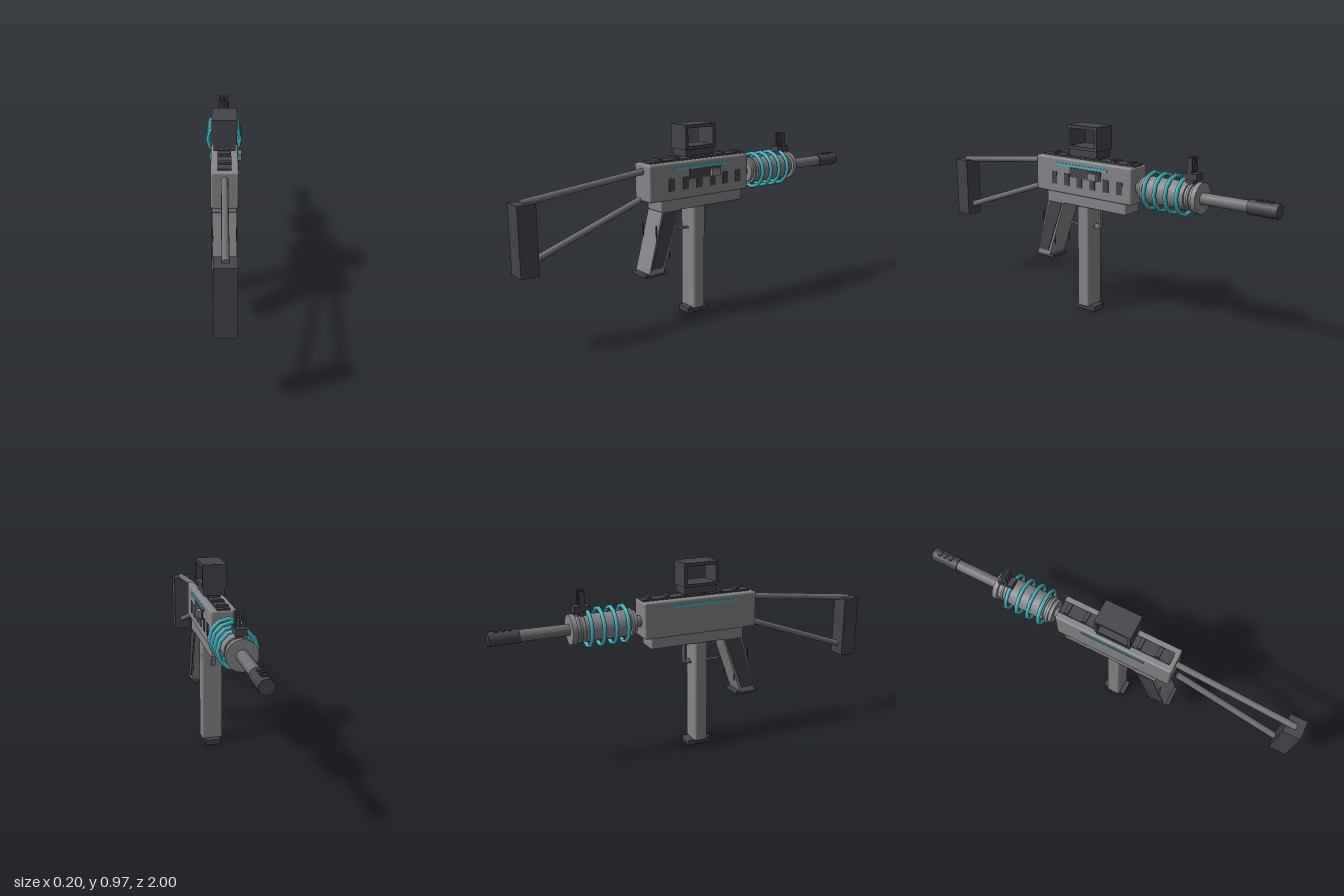
import * as THREE from 'three';
import { RoundedBoxGeometry } from 'three/addons/geometries/RoundedBoxGeometry.js';

export function createModel() {
  const model = new THREE.Group();
  model.name = 'rifle';
  const mat = (name, color) => {
    const m = new THREE.MeshStandardMaterial({ color });
    m.name = name;
    return m;
  };
  const grey = mat('bodyGrey', 0x86868a);
  const steel = mat('barrelSteel', 0x707074);
  const dark = mat('darkPolymer', 0x44444c);
  const teal = mat('tealGlow', 0x3fb4c0);

  const add = (name, geo, material, x = 0, y = 0, z = 0) => {
    const m = new THREE.Mesh(geo, material);
    m.name = name;
    m.position.set(x, y, z);
    model.add(m);
    return m;
  };
  // Box given by its ranges in y and z, centred on x
  const box = (name, material, w, y0, y1, z0, z1, x = 0) =>
    add(name, new THREE.BoxGeometry(w, y1 - y0, z1 - z0), material, x, (y0 + y1) / 2, (z0 + z1) / 2);
  const softBox = (name, material, w, y0, y1, z0, z1, r) =>
    add(name, new RoundedBoxGeometry(w, y1 - y0, z1 - z0, 2, r), material, 0, (y0 + y1) / 2, (z0 + z1) / 2);
  // Cylinder between two points in the plane x = 0
  const rod = (name, material, r, y0, z0, y1, z1, sides = 16) => {
    const a = new THREE.Vector3(0, y0, z0), b = new THREE.Vector3(0, y1, z1);
    const m = add(name, new THREE.CylinderGeometry(r, r, a.distanceTo(b), sides), material);
    m.position.copy(a).add(b).multiplyScalar(0.5);
    m.quaternion.setFromUnitVectors(new THREE.Vector3(0, 1, 0), b.sub(a).normalize());
    return m;
  };
  // Side outline of [z, y] points extruded across x
  const sidePlate = (name, material, pts, width, x = 0, hole) => {
    const shape = new THREE.Shape(pts.map(p => new THREE.Vector2(...p)));
    if (hole) shape.holes.push(new THREE.Path(hole.map(p => new THREE.Vector2(...p))));
    const g = new THREE.ExtrudeGeometry(shape, { depth: width, bevelEnabled: false });
    g.translate(0, 0, -width / 2).rotateY(-Math.PI / 2);
    return add(name, g, material, x);
  };

  // Receiver
  softBox('upperReceiver', grey, 0.13, 0.615, 0.797, -0.272, 0.34, 0.01);
  softBox('lowerReceiver', grey, 0.118, 0.56, 0.64, -0.238, 0.272, 0.008);

  // Top rail with ridges
  box('topRail', dark, 0.064, 0.79, 0.805, -0.265, 0.315);
  for (let i = 0; i < 6; i++) {
    const z = 0.25 - i * 0.096;
    box('railRidge', dark, 0.058, 0.8, 0.815, z - 0.01, z + 0.01);
  }

  // Glowing side stripes
  for (const s of [-1, 1]) box('sideStripe', teal, 0.006, 0.759, 0.772, -0.13, 0.2, s * 0.066);

  // Vent slots, ejection port and bolt handle on the left side
  for (let i = 0; i < 6; i++) {
    const z = 0.213 - i * 0.0835;
    box('ventSlot', dark, 0.006, 0.66, 0.722, z - 0.017, z + 0.017, 0.065);
  }
  box('ejectionPort', dark, 0.008, 0.708, 0.756, -0.09, 0.107, 0.065);
  box('boltHandle', grey, 0.024, 0.71, 0.745, -0.075, -0.02, 0.074);

  // Sight with a window open from side to side
  box('sightMount', dark, 0.106, 0.815, 0.852, -0.055, 0.12);
  sidePlate('sightFrame', dark,
    [[-0.06, 0.85], [0.125, 0.85], [0.125, 0.97], [-0.06, 0.97]], 0.12, 0,
    [[-0.045, 0.866], [-0.045, 0.954], [0.11, 0.954], [0.11, 0.866]]);

  // Stock
  rod('upperStrut', steel, 0.016, 0.692, 0.96, 0.762, 0.33);
  rod('lowerStrut', steel, 0.016, 0.427, 0.92, 0.627, 0.355);
  box('buttPad', dark, 0.095, 0.37, 0.692, 0.912, 1);

  // Pistol grip
  sidePlate('grip', grey, [[0.265, 0.57], [0.155, 0.57], [0.262, 0.262], [0.347, 0.262]], 0.118);
  for (const s of [-1, 1]) {
    sidePlate('gripPanel', dark, [[0.257, 0.56], [0.168, 0.56], [0.27, 0.285], [0.335, 0.285]], 0.006, s * 0.06);
    box('gripStrip', dark, 0.004, 0.34, 0.5, 0.3, 0.304, s * 0.056);
    box('gripStrip', dark, 0.004, 0.33, 0.48, 0.222, 0.226, s * 0.056);
  }
  softBox('gripBase', dark, 0.108, 0.245, 0.264, 0.24, 0.367, 0.004);

  // Magazine
  softBox('magazine', grey, 0.11, 0.022, 0.57, 0, 0.072, 0.012);
  softBox('magazineBase', dark, 0.08, 0, 0.03, -0.03, 0.098, 0.004);

  // Trigger guard
  box('triggerGuardBar', steel, 0.02, 0.445, 0.453, -0.035, 0.162);
  box('triggerGuardPost', steel, 0.02, 0.455, 0.565, -0.042, -0.03);
  rod('triggerGuardCorner', steel, 0.012, 0.458, -0.04, 0.458, -0.008, 10);

  // Barrel and its ribbed shroud
  const axis = 0.695;
  rod('barrel', steel, 0.028, axis, -0.25, axis, -0.88, 20);
  const profile = [
    [0, -0.305], [0.06, -0.305], [0.06, -0.322], [0.07, -0.322], [0.07, -0.335], [0.056, -0.335],
    [0.056, -0.35], [0.066, -0.35], [0.066, -0.56], [0.058, -0.56], [0.058, -0.575], [0.066, -0.575],
    [0.066, -0.585], [0.058, -0.585], [0.058, -0.603], [0.073, -0.603], [0.073, -0.627], [0, -0.627]
  ];
  // Each step is its own pair of points so the edges stay sharp
  for (let i = 0; i < profile.length - 1; i++) {
    const pair = [profile[i + 1], profile[i]].map(([r, z]) => new THREE.Vector2(r, z));
    const g = new THREE.LatheGeometry(pair, 24);
    g.rotateX(Math.PI / 2);
    add('barrelShroud', g, grey, 0, axis, 0);
  }
  for (let i = 0; i < 4; i++)
    add('coilRing', new THREE.TorusGeometry(0.089, 0.01, 8, 12), teal, 0, axis, -0.36 - i * 0.06);

  // Muzzle with ports along the top
  rod('muzzle', dark, 0.034, axis, -0.86, axis, -1, 20);
  for (let i = 0; i < 3; i++)
    box('muzzlePort', dark, 0.026, 0.72, 0.733, -0.91 - i * 0.03, -0.893 - i * 0.03);

  // Front sight with three prongs
  box('frontSightStem', dark, 0.03, 0.755, 0.78, -0.585, -0.545);
  box('frontSightBase', dark, 0.05, 0.775, 0.806, -0.605, -0.528);
  for (const x of [-0.019, 0, 0.019])
    box('frontSightProng', dark, 0.009, 0.8, 0.877, -0.578, -0.552, x);

  return model;
}
